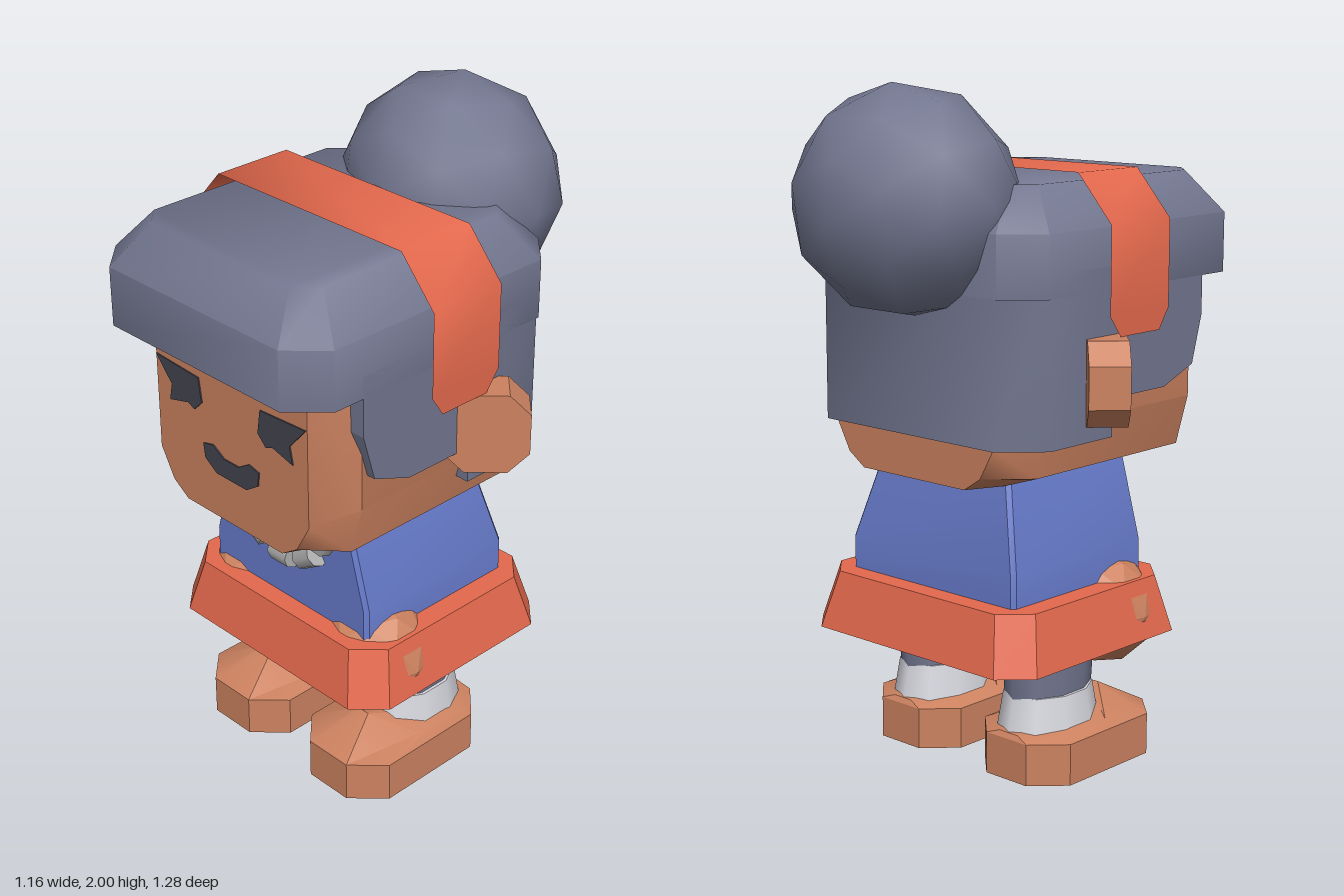
import * as THREE from 'three';
import { toCreasedNormals } from 'three/addons/utils/BufferGeometryUtils.js';

const mat = (name, color, side = THREE.FrontSide) => {
  const m = new THREE.MeshStandardMaterial({ color, side });
  m.name = name;
  return m;
};

// Octagonal ring at height y: half width hx, from z0 (back) to z1 (front), corner cut c
const oct = (hx, z0, z1, y, c) => {
  const half = [[hx - c, z1], [hx, z1 - c], [hx, z0 + c], [hx - c, z0]];
  return [...half, ...half.slice().reverse().map(([x, z]) => [-x, z])].map(([x, z]) => [x, y, z]);
};

// Closed solid through convex rings of equal point count
function loft(rings, crease = 0.5) {
  const pos = [];
  const tri = (a, b, c) => pos.push(...a, ...b, ...c);
  const n = rings[0].length;
  for (let i = 0; i < rings.length - 1; i++) {
    for (let j = 0; j < n; j++) {
      const k = (j + 1) % n, a = rings[i], b = rings[i + 1];
      tri(a[j], a[k], b[k]);
      tri(a[j], b[k], b[j]);
    }
  }
  const first = rings[0], last = rings[rings.length - 1];
  for (let j = 1; j < n - 1; j++) {
    tri(first[0], first[j + 1], first[j]);
    tri(last[0], last[j], last[j + 1]);
  }
  const g = new THREE.BufferGeometry();
  g.setAttribute('position', new THREE.Float32BufferAttribute(pos, 3));
  return toCreasedNormals(g, crease);
}

const shapeOf = (pts) => new THREE.Shape(pts.map(([x, y]) => new THREE.Vector2(x, y)));
const extrude = (pts, depth) =>
  new THREE.ExtrudeGeometry(shapeOf(pts), { depth, bevelEnabled: false });

export function createModel() {
  const root = new THREE.Group();
  const skin = mat('skin', 0xcc8260), hair = mat('hair', 0x737790);
  const red = mat('red cloth', 0xe4694d), band = mat('red band', 0xe4694d, THREE.DoubleSide);
  const blue = mat('blue cloth', 0x677bcb), white = mat('white sock', 0xd8d8e0);
  const silver = mat('silver', 0xb0b0b0), dark = mat('dark face paint', 0x42444f);
  const add = (name, geo, material, x = 0, y = 0, z = 0) => {
    const m = new THREE.Mesh(geo, material);
    m.name = name;
    m.position.set(x, y, z);
    root.add(m);
    return m;
  };

  // Head: front profiles lofted from back to front
  const headRing = (z, half) => [
    ...half.map(([x, y]) => [x, y, z]),
    ...half.slice().reverse().map(([x, y]) => [-x, y, z]),
  ];
  const wide = [[0.25, 0.89], [0.37, 0.93], [0.41, 1.08], [0.41, 1.55]];
  const narrow = [[0.2, 0.89], [0.26, 0.93], [0.31, 1.02], [0.31, 1.55]];
  add('head', loft([headRing(-0.31, narrow), headRing(-0.2, wide),
    headRing(0.42, wide), headRing(0.52, narrow)], 0.7), skin);

  // Hair: crown with fringe, back panel, side locks, bun
  add('hairCrown', loft([oct(0.438, -0.33, 0.64, 1.435, 0.1), oct(0.438, -0.33, 0.64, 1.61, 0.1),
    oct(0.335, -0.22, 0.54, 1.73, 0.06)], 0.9), hair);
  const backRing = (y) => [[0.438, 0.04], [0.438, -0.22], [0.33, -0.33],
    [-0.33, -0.33], [-0.438, -0.22], [-0.438, 0.04]].map(([x, z]) => [x, y, z]);
  add('backHair', loft([backRing(1.02), backRing(1.5)], 0.9), hair);
  const lock = [[0.44, 1.5], [0.44, 1.32], [0.4, 1.18], [0.27, 1.13], [0, 1.13], [0, 1.5]]
    .map(([z, y]) => [-z, y]);
  for (const x of [0.36, -0.438]) {
    add('sideLock', extrude(lock, 0.078).rotateY(Math.PI / 2), hair, x);
  }
  const bun = add('hairBun', new THREE.IcosahedronGeometry(1, 1)
    .rotateX(-0.16).scale(0.335, 0.328, 0.312), hair, 0, 1.675, -0.33);
  bun.geometry.computeBoundingSphere();

  // Headband: open strip running over the crown
  const bandHalf = [[0.48, 1.31, 0.02, 0.19], [0.48, 1.37, -0.025, 0.23],
    [0.48, 1.62, -0.025, 0.23], [0.36, 1.755, -0.025, 0.23]];
  const bandRows = [...bandHalf, ...bandHalf.slice().reverse().map(([x, ...r]) => [-x, ...r])];
  const strip = [];
  for (let i = 0; i < bandRows.length - 1; i++) {
    const [x, y, b, f] = bandRows[i], [u, v, c, g] = bandRows[i + 1];
    strip.push(x, y, f, x, y, b, u, v, c, x, y, f, u, v, c, u, v, g);
  }
  const bandGeo = new THREE.BufferGeometry();
  bandGeo.setAttribute('position', new THREE.Float32BufferAttribute(strip, 3));
  add('headband', toCreasedNormals(bandGeo, 0.9), band);

  // Face
  const eye = [[0.307, 1.32], [0.127, 1.31], [0.116, 1.236], [0.148, 1.204],
    [0.175, 1.215], [0.254, 1.194], [0.243, 1.247]];
  const mouth = [[-0.116, 1.11], [-0.074, 1.12], [-0.03, 1.093], [0.03, 1.093], [0.074, 1.12],
    [0.116, 1.11], [0.11, 1.066], [0.063, 1.034], [-0.063, 1.034], [-0.11, 1.066]];
  add('mouth', extrude(mouth, 0.006), dark, 0, 0, 0.518);

  // Torso, open neck and necklace
  const torsoRing = (hx, z0, y) => oct(hx, z0, 0.32, y, 0.012);
  add('torso', loft([torsoRing(0.325, -0.243, 0.5), torsoRing(0.325, -0.243, 0.65),
    torsoRing(0.25, -0.185, 0.92)]), blue);
  add('neckOpening', extrude([[-0.08, 0.9], [0, 0.805], [0.08, 0.9]], 0.006), skin, 0, 0, 0.318);
  const beads = [[-0.17, 0.84, -1], [-0.104, 0.755, -0.55], [0, 0.72, 0],
    [0.104, 0.755, 0.55], [0.17, 0.84, 1]];
  for (const [x, y, turn] of beads) {
    const bead = add('necklaceBead', new THREE.CylinderGeometry(0.04, 0.04, 0.075, 8),
      silver, x, y, 0.33);
    bead.rotation.z = Math.PI / 2 + turn;
  }

  // Flared sash
  add('sash', loft([oct(0.435, -0.352, 0.42, 0.385, 0.085),
    oct(0.393, -0.307, 0.38, 0.555, 0.08)]), red);

  // Mirrored parts
  const earPlate = [[-0.06, -0.12], [0.06, -0.12], [0.12, -0.06], [0.12, 0.06],
    [0.06, 0.12], [-0.06, 0.12], [-0.12, 0.06], [-0.12, -0.06]];
  for (const s of [1, -1]) {
    add('eye', extrude(eye.map(([x, y]) => [s * x, y]), 0.006), dark, 0, 0, 0.518);
    const ear = add('ear', extrude(earPlate, 0.115).translate(0, 0, -0.0575),
      skin, s * 0.455, 1.19, -0.01);
    ear.rotation.y = s * Math.PI / 4;

    const hand = new THREE.IcosahedronGeometry(1, 1).scale(0.178, 0.172, 0.168);
    add('hand', toCreasedNormals(hand, 0.3), skin, s * 0.25, 0.45, 0.215);

    // Leg and sock
    const leg = new THREE.CylinderGeometry(1.08, 0.97, 0.27, 10);
    add('leg', leg.scale(0.105, 1, 0.158), hair, s * 0.215, 0.365, 0.03);
    const sock = new THREE.CylinderGeometry(0.95, 1.12, 0.14, 10);
    add('sock', sock.scale(0.118, 1, 0.16), white, s * 0.215, 0.172, 0.03);

    // Shoe with a raised toe and a collar round the sock
    const collar = oct(0.135, -0.145, 0.23, 0.14, 0.1)
      .map(([x, y, z]) => (z > 0.2 ? [x * 0.6, 0.205, z] : [x, y, z]));
    add('shoe', loft([oct(0.168, -0.155, 0.375, 0, 0.09), oct(0.168, -0.155, 0.375, 0.125, 0.09),
      collar]), skin, s * 0.2175);
  }
  return root;
}
